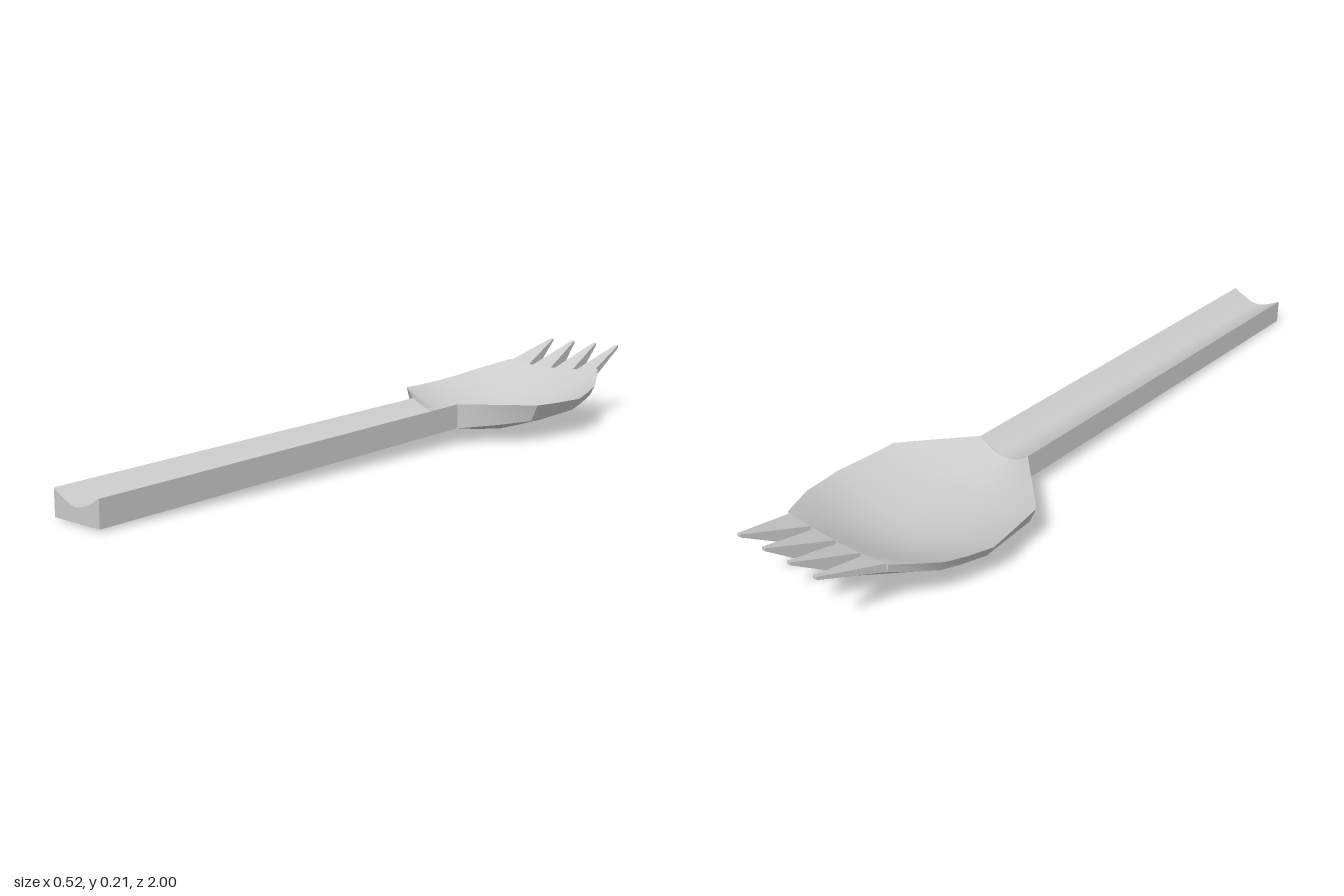
import * as THREE from 'three';
import { toCreasedNormals } from 'three/addons/utils/BufferGeometryUtils.js';

const COLUMNS = [-1, -0.75, -0.5, -0.25, 0, 0.25, 0.5, 0.75, 1];

// Closed loft through sections ordered from +z to -z.
// A section holds top and bottom point rows, both running from -x to +x.
function loft(sections) {
  const n = sections[0].top.length;
  const size = n * 2;
  const positions = [];
  const index = [];
  for (const { top, bottom } of sections) {
    for (const p of [...top, ...[...bottom].reverse()]) positions.push(...p);
  }
  const quad = (a, b, c, d) => index.push(a, b, c, a, c, d);
  for (let i = 0; i < sections.length - 1; i++) {
    for (let j = 0; j < size; j++) {
      const k = (j + 1) % size;
      quad(i * size + j, i * size + k, (i + 1) * size + k, (i + 1) * size + j);
    }
  }
  // End caps: strips between the top and bottom rows
  const last = (sections.length - 1) * size;
  for (let k = 0; k < n - 1; k++) {
    const t = k, b = size - 1 - k;
    quad(t, b, b - 1, t + 1);
    quad(last + t, last + t + 1, last + b - 1, last + b);
  }
  const geometry = new THREE.BufferGeometry();
  geometry.setAttribute('position', new THREE.Float32BufferAttribute(positions, 3));
  geometry.setIndex(index);
  return toCreasedNormals(geometry, 0.5);
}

// Handle section: flat underside and a shallow groove on top
function handleSection(z, base, edge, groove) {
  return {
    top: COLUMNS.map(t => [t * 0.08, groove + (edge - groove) * Math.pow(Math.abs(t), 1.5), z]),
    bottom: COLUMNS.map(t => [t * 0.08, base, z]),
  };
}

// Bowl section: dished inside, side band below the rim, faceted keel
function bowlSection([z, width, rim, floor, inset, band, mid, keel]) {
  const under = t => {
    const a = Math.abs(t);
    return a < 0.5 ? keel + (mid - keel) * a * 2 : mid + (band - mid) * (a - 0.5) * 2;
  };
  return {
    top: COLUMNS.map(t => [t * width, floor + (rim - floor) * t * t, z]),
    bottom: COLUMNS.map(t => [t * width * inset, under(t), z]),
  };
}

export function createModel() {
  const group = new THREE.Group();
  const material = new THREE.MeshStandardMaterial({ color: 0xcccccc });
  const add = (name, geometry) => {
    const mesh = new THREE.Mesh(geometry, material);
    mesh.name = name;
    group.add(mesh);
  };

  add('handle', loft([
    handleSection(1, 0.005, 0.073, 0.04),
    handleSection(-0.24, 0.045, 0.113, 0.08),
  ]));

  // z, half width, rim y, floor y, band inset, band y, mid y, keel y
  add('bowl', loft([
    [-0.24, 0.08, 0.113, 0.08, 1, 0.045, 0.045, 0.045],
    [-0.27, 0.11, 0.112, 0.072, 0.97, 0.047, 0.037, 0.034],
    [-0.33, 0.17, 0.11, 0.05, 0.94, 0.052, 0.03, 0.024],
    [-0.4, 0.24, 0.107, 0.042, 0.91, 0.06, 0.025, 0.016],
    [-0.49, 0.25, 0.105, 0.038, 0.91, 0.065, 0.024, 0.007],
    [-0.58, 0.26, 0.105, 0.04, 0.91, 0.07, 0.025, 0],
    [-0.65, 0.245, 0.114, 0.053, 0.91, 0.08, 0.033, 0.008],
    [-0.71, 0.23, 0.125, 0.075, 0.92, 0.093, 0.043, 0.02],
    [-0.77, 0.197, 0.14, 0.108, 0.94, 0.112, 0.062, 0.038],
    [-0.825, 0.165, 0.155, 0.143, 0.97, 0.132, 0.085, 0.06],
  ].map(bowlSection)));

  // Four tapering tines growing out of the bowl's end
  const topAt = x => 0.143 + 0.44 * x * x;
  const underAt = x => {
    const a = Math.abs(x);
    return a < 0.08 ? 0.06 + a * 0.31 : 0.085 + (a - 0.08) * 0.59;
  };
  [-0.123, -0.041, 0.041, 0.123].forEach((x, i) => {
    const row = (half, y, z) => [-1, 0, 1].map(t => [x + t * half, y(x + t * half), z]);
    add(`tine${i + 1}`, loft([
      { top: row(0.034, topAt, -0.825), bottom: row(0.034, underAt, -0.825) },
      { top: row(0.005, () => 0.208, -1), bottom: row(0.005, () => 0.2, -1) },
    ]));
  });

  return group;
}
